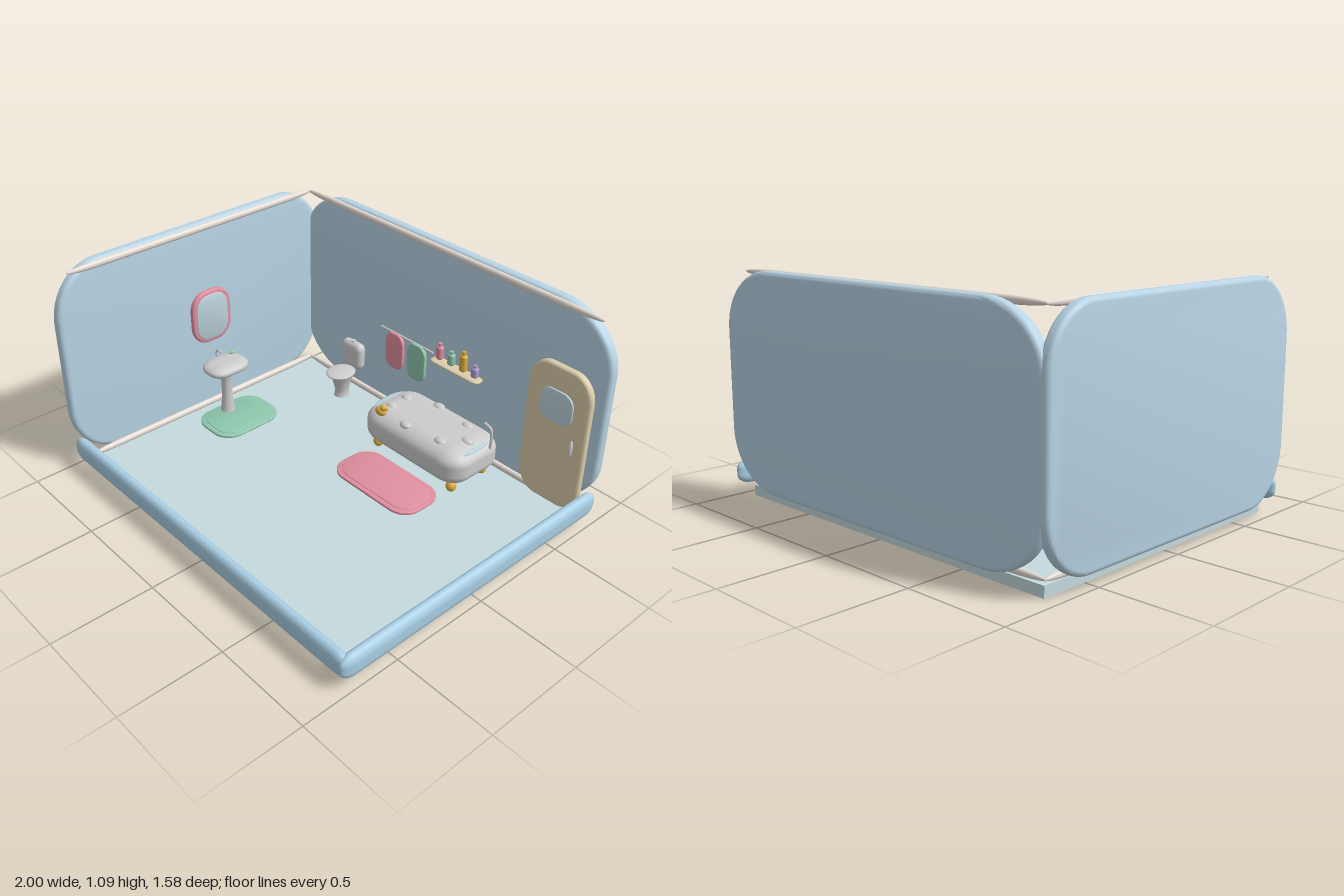
import * as THREE from 'three';
import { toCreasedNormals } from 'three/addons/utils/BufferGeometryUtils.js';
import { RoundedBoxGeometry } from 'three/addons/geometries/RoundedBoxGeometry.js';

const COLORS = {
  grey: 0xcccccc, wall: 0xb9d5e6, curb: 0xa9cfe4, floor: 0xc5dade, trim: 0xe4dcd4, cream: 0xdccdaa,
  pink: 0xdf8f9f, green: 0x8fc7ad, gold: 0xdcae3c, purple: 0xab99cc, glass: 0xbdd3dc, orange: 0xd98a35,
};
const materials = {};
for (const key in COLORS) materials[key] = new THREE.MeshStandardMaterial({ color: COLORS[key] });

// Soft box whose rounding differs along each axis
function soft(w, h, d, rx, ry, rz) {
  return new RoundedBoxGeometry(w / rx, h / ry, d / rz, 4, 0.999).scale(rx, ry, rz);
}

// Upright plate with elliptical corners and bevelled edges, centred on the origin
function plate(w, h, d, rx, ry, bevel) {
  const x = w / 2 - bevel, y = h / 2 - bevel;
  const a = rx - bevel, b = ry - bevel;
  const s = new THREE.Shape();
  s.absellipse(x - a, y - b, a, b, 0, Math.PI / 2, false, 0);
  s.absellipse(-x + a, y - b, a, b, Math.PI / 2, Math.PI, false, 0);
  s.absellipse(-x + a, -y + b, a, b, Math.PI, Math.PI * 1.5, false, 0);
  s.absellipse(x - a, -y + b, a, b, Math.PI * 1.5, Math.PI * 2, false, 0);
  s.closePath();
  const g = new THREE.ExtrudeGeometry(s, {
    depth: d - 2 * bevel, bevelThickness: bevel, bevelSize: bevel, bevelSegments: 4, curveSegments: 6,
  });
  g.translate(0, 0, bevel - d / 2);
  return toCreasedNormals(g, 0.7);
}

const ball = (rx, ry, rz) => new THREE.SphereGeometry(1, 20, 14).scale(rx, ry, rz);

function tube(radius, ...points) {
  const curve = new THREE.CatmullRomCurve3(points.map((p) => new THREE.Vector3(...p)));
  return new THREE.TubeGeometry(curve, 24, radius, 8);
}

function lathe(...points) {
  const curve = new THREE.SplineCurve(points.map((p) => new THREE.Vector2(...p)));
  return new THREE.LatheGeometry(curve.getPoints(20), 24);
}

export function createModel() {
  const model = new THREE.Group();
  model.name = 'bathroom';

  function add(name, color, geometry, x = 0, y = 0, z = 0, parent = model) {
    const mesh = new THREE.Mesh(geometry, materials[color]);
    mesh.name = name;
    mesh.position.set(x, y, z);
    parent.add(mesh);
    return mesh;
  }
  function group(name) {
    const g = new THREE.Group();
    g.name = name;
    model.add(g);
    return g;
  }

  // Room shell: floor, two tall walls, two low curbs
  add('floor', 'floor', new THREE.BoxGeometry(1.86, 0.05, 1.45), 0, 0.025, 0);
  add('backWall', 'wall', plate(1.98, 1.03, 0.06, 0.32, 0.28, 0.022), 0.01, 0.57, -0.76);
  add('sideWall', 'wall', plate(1.58, 1.03, 0.06, 0.25, 0.28, 0.022), -0.97, 0.57, 0).rotation.y = Math.PI / 2;
  add('frontCurb', 'curb', soft(1.98, 0.12, 0.06, 0.07, 0.045, 0.029), 0, 0.117, 0.757);
  add('sideCurb', 'curb', soft(0.06, 0.12, 1.58, 0.029, 0.045, 0.07), 0.97, 0.117, 0);

  // Tapering rails along the top and foot of the walls
  for (const [name, y] of [['topRail', 1.068], ['baseboard', 0.07]]) {
    add(name + 'Back', 'trim', soft(1.87, 0.034, 0.03, 0.22, 0.0165, 0.0145), 0, y, -0.717);
    add(name + 'Side', 'trim', soft(0.03, 0.034, 1.45, 0.0145, 0.0165, 0.18), -0.927, y, 0);
  }

  // Door with window and handle
  const door = group('door');
  add('doorPanel', 'cream', plate(0.345, 0.73, 0.04, 0.11, 0.13, 0.014), 0.773, 0.415, -0.714, door);
  add('doorWindow', 'glass', plate(0.18, 0.17, 0.012, 0.06, 0.06, 0.004), 0.773, 0.577, -0.692, door);
  add('doorHandle', 'grey', ball(0.009, 0.045, 0.012), 0.88, 0.403, -0.688, door);

  // Mirror on the side wall
  const mirror = group('mirror');
  add('mirrorFrame', 'pink', plate(0.235, 0.29, 0.03, 0.09, 0.1, 0.011), -0.912, 0.59, -0.033, mirror).rotation.y = Math.PI / 2;
  add('mirrorGlass', 'glass', plate(0.19, 0.25, 0.012, 0.07, 0.08, 0.004), -0.899, 0.59, -0.033, mirror).rotation.y = Math.PI / 2;

  // Pedestal sink
  const sink = group('sink');
  add('sinkBasin', 'grey', soft(0.175, 0.065, 0.235, 0.07, 0.031, 0.08), -0.812, 0.333, -0.035, sink);
  add('sinkPedestal', 'grey', lathe([0.045, 0], [0.036, 0.03], [0.028, 0.12], [0.03, 0.22], [0.045, 0.26]), -0.812, 0.05, -0.035, sink);
  add('sinkFaucet', 'grey', tube(0.005, [-0.885, 0.355, -0.035], [-0.885, 0.385, -0.035], [-0.87, 0.398, -0.035], [-0.845, 0.393, -0.035]), 0, 0, 0, sink);
  add('soap', 'green', ball(0.014, 0.008, 0.022), -0.852, 0.367, -0.112, sink);

  // Bath mats with a raised middle
  for (const [name, color, x, z, w, d] of [
    ['sinkMat', 'green', -0.727, -0.042, 0.28, 0.385], ['tubMat', 'pink', 0.187, -0.223, 0.525, 0.27],
  ]) {
    const mat = group(name);
    add(name + 'Base', color, plate(w, d, 0.014, 0.1, 0.1, 0.005), x, 0.056, z, mat).rotation.x = -Math.PI / 2;
    add(name + 'Middle', color, plate(w - 0.05, d - 0.05, 0.01, 0.08, 0.08, 0.003), x, 0.061, z, mat).rotation.x = -Math.PI / 2;
  }

  // Toilet
  const toilet = group('toilet');
  add('toiletTank', 'grey', soft(0.145, 0.15, 0.06, 0.03, 0.035, 0.025), -0.538, 0.272, -0.682, toilet);
  add('flushButton', 'grey', new THREE.CylinderGeometry(0.013, 0.013, 0.008, 16), -0.538, 0.349, -0.682, toilet);
  add('toiletSeat', 'grey', ball(0.073, 0.015, 0.085), -0.538, 0.192, -0.59, toilet);
  add('toiletBowl', 'grey', lathe([0.04, 0], [0.036, 0.03], [0.045, 0.08], [0.064, 0.14]).scale(1, 1, 1.1), -0.538, 0.05, -0.6, toilet);

  // Bathtub with feet, water edge, foam and faucet
  const tub = group('bathtub');
  add('tubBody', 'grey', soft(0.65, 0.19, 0.355, 0.12, 0.07, 0.1), 0.187, 0.19, -0.523, tub);
  add('tubWater', 'glass', soft(0.615, 0.02, 0.27, 0.1, 0.009, 0.1), 0.183, 0.263, -0.523, tub);
  for (const x of [-0.06, 0.435]) {
    for (const z of [-0.63, -0.415]) add('tubFoot', 'gold', ball(0.026, 0.028, 0.026), x, 0.078, z, tub);
  }
  for (const [x, z] of [[-0.03, -0.575], [0.13, -0.64], [0.335, -0.62], [0.42, -0.525], [0.335, -0.43], [0.13, -0.405], [-0.03, -0.47]]) {
    add('foamBubble', 'grey', ball(0.033, 0.018, 0.025), x, 0.277, z, tub);
  }
  add('tubFaucet', 'grey', tube(0.007, [0.5, 0.24, -0.6], [0.503, 0.31, -0.6], [0.495, 0.35, -0.6], [0.455, 0.367, -0.6]), 0, 0, 0, tub);

  // Toy duck on the tub edge
  const duck = group('duck');
  add('duckBody', 'gold', ball(0.032, 0.023, 0.023), -0.005, 0.307, -0.368, duck);
  add('duckHead', 'gold', ball(0.017, 0.017, 0.017), 0.012, 0.333, -0.368, duck);
  add('duckBeak', 'orange', ball(0.012, 0.005, 0.009), 0.031, 0.332, -0.368, duck);

  // Towel rail with two towels
  const rail = group('towelRail');
  add('railBar', 'grey', new THREE.CylinderGeometry(0.006, 0.006, 0.365, 12).rotateZ(Math.PI / 2), -0.178, 0.504, -0.71, rail);
  for (const [name, color, x] of [['pinkTowel', 'pink', -0.252], ['greenTowel', 'green', -0.097]]) {
    add(name, color, plate(0.125, 0.205, 0.022, 0.045, 0.06, 0.008), x, 0.407, -0.704, rail);
  }

  // Shelf with bottles
  const shelf = group('shelf');
  add('shelfBoard', 'cream', soft(0.31, 0.014, 0.065, 0.04, 0.006, 0.02), 0.187, 0.503, -0.68, shelf);
  for (const [color, x, h] of [['pink', 0.072, 0.09], ['green', 0.148, 0.078], ['gold', 0.225, 0.11], ['purple', 0.3, 0.068]]) {
    add('bottle', color, soft(0.038, h * 0.85, 0.036, 0.016, 0.014, 0.016), x, 0.51 + h * 0.425, -0.685, shelf);
    add('bottleCap', color, new THREE.CylinderGeometry(0.01, 0.011, h * 0.2, 14), x, 0.51 + h * 0.9, -0.685, shelf);
  }

  return model;
}
